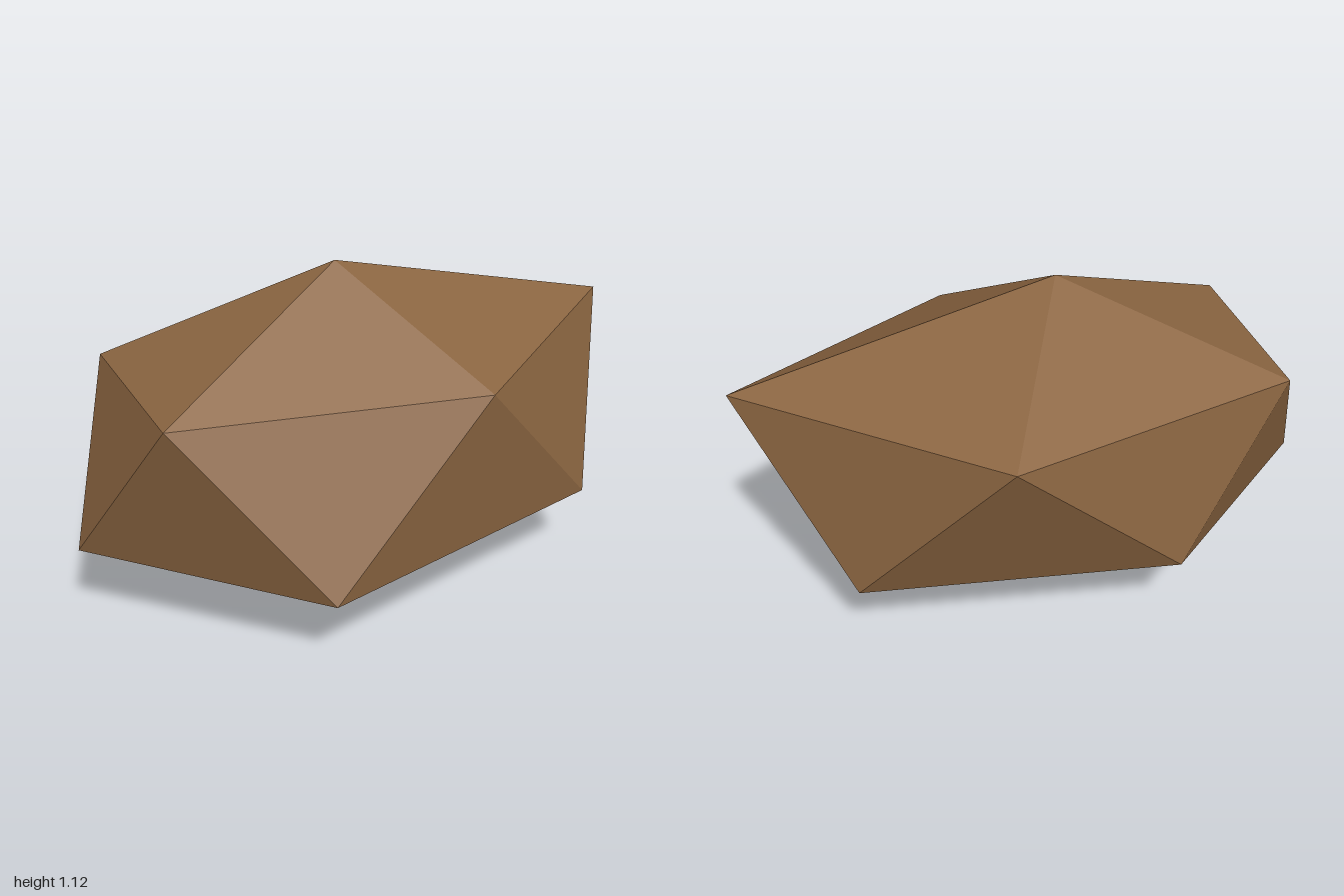
import * as THREE from 'three';

// Faceted boulder: two poles joined by two staggered rings of five points.
export function createModel() {
  const group = new THREE.Group();
  group.name = 'boulder';

  const brown = new THREE.MeshStandardMaterial({ color: 0x8b6541, flatShading: true });
  brown.name = 'earthBrown';

  const top = [-0.08, 1.12, 0.01];
  const bottom = [-0.08, 0, 0.01];
  const upper = [
    [1, 0.86, 0], [0.19, 0.805, 0.565], [-0.8, 0.805, 0.355],
    [-0.785, 0.8, -0.335], [0.235, 0.845, -0.645],
  ];
  const lower = [
    [0.71, 0.26, 0.39], [-0.39, 0.255, 0.64], [-1, 0.28, 0],
    [-0.35, 0.29, -0.55], [0.69, 0.27, -0.365],
  ];

  // Cap, two side facets and base facet for each fifth of the way round
  const positions = [];
  const facet = (...corners) => corners.forEach((c) => positions.push(...c));
  for (let i = 0; i < 5; i++) {
    const j = (i + 1) % 5;
    facet(top, upper[j], upper[i]);
    facet(upper[i], upper[j], lower[i]);
    facet(lower[i], upper[j], lower[j]);
    facet(bottom, lower[i], lower[j]);
  }

  const geometry = new THREE.BufferGeometry();
  geometry.setAttribute('position', new THREE.Float32BufferAttribute(positions, 3));
  geometry.computeVertexNormals();

  const rock = new THREE.Mesh(geometry, brown);
  rock.name = 'rock';
  group.add(rock);
  return group;
}
